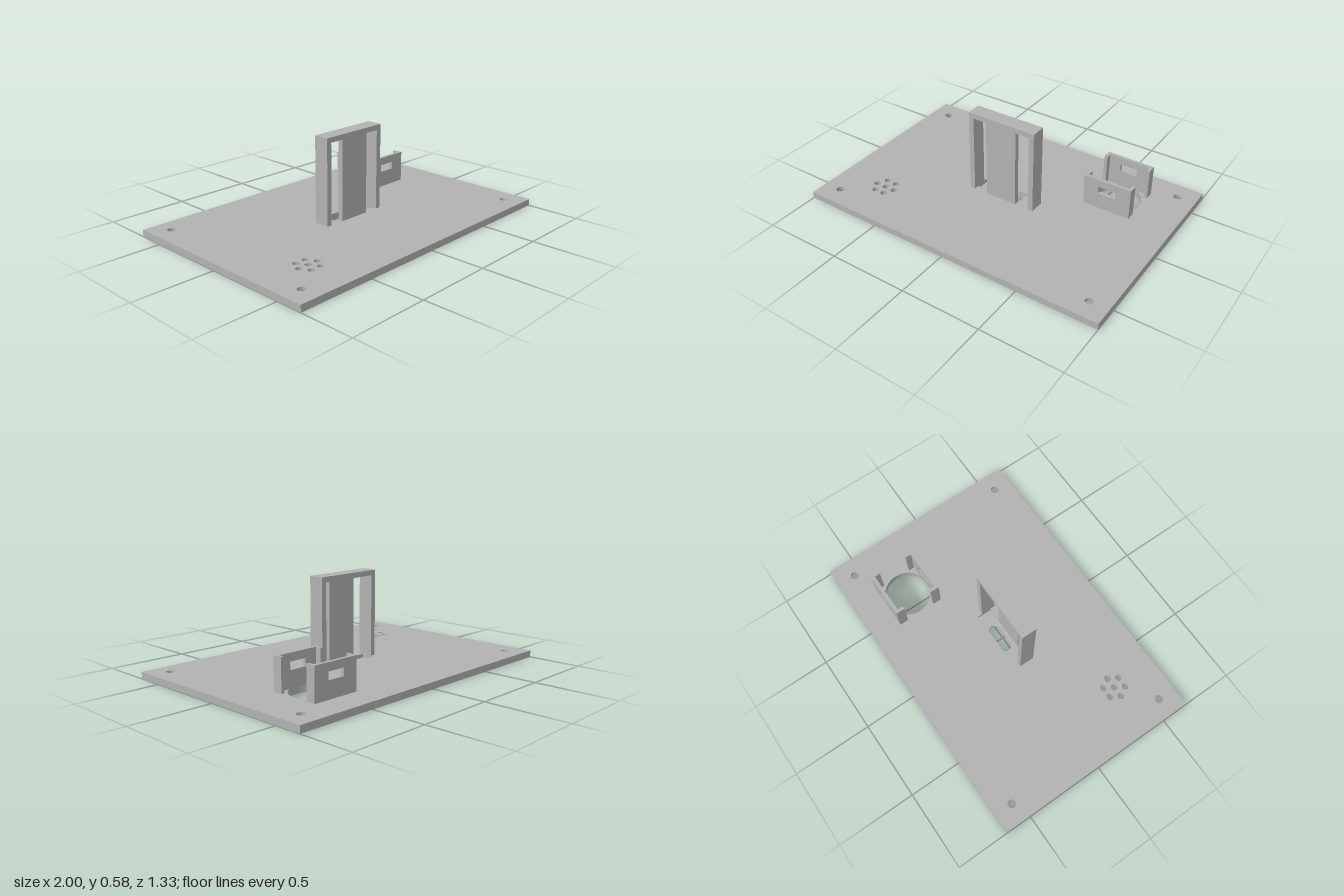
import * as THREE from 'three';

const T = 0.042;      // plate thickness
const FLOOR = 0.02;   // pocket floor height
const SCREWS = [[-0.883, -0.55], [0.883, -0.55], [-0.883, 0.55], [0.883, 0.55]];

const rectPoints = (x0, y0, x1, y1) => [
  new THREE.Vector2(x0, y0), new THREE.Vector2(x1, y0),
  new THREE.Vector2(x1, y1), new THREE.Vector2(x0, y1)];
const rect = (...a) => new THREE.Shape(rectPoints(...a));
const rectHole = (...a) => new THREE.Path(rectPoints(...a));
const roundHole = (x, y, r) => new THREE.Path().absarc(x, y, r, 0, Math.PI * 2, true);

// Slot with rounded ends: centre, half the straight length, radius
function slotHole(x, y, half, r) {
  const p = new THREE.Path();
  p.absarc(x + half, y, r, -Math.PI / 2, Math.PI / 2, false);
  p.absarc(x - half, y, r, Math.PI / 2, Math.PI * 1.5, false);
  p.closePath();
  return p;
}

export function createModel() {
  const model = new THREE.Group();
  model.name = 'mountingPanel';
  const grey = new THREE.MeshStandardMaterial({ color: 0xb2b2b2 });
  grey.name = 'grey';

  const add = (parent, name, geometry, x = 0, y = 0, z = 0) => {
    const mesh = new THREE.Mesh(geometry, grey);
    mesh.name = name;
    mesh.position.set(x, y, z);
    parent.add(mesh);
    return mesh;
  };
  const extrude = (shape, depth) =>
    new THREE.ExtrudeGeometry(shape, { depth, bevelEnabled: false, curveSegments: 24 });

  // Base plate in two layers; the upper one is cut out for the pocket
  const plate = new THREE.Group();
  plate.name = 'basePlate';
  model.add(plate);
  const plateLayer = (name, y0, y1, screwRadius, extraHole) => {
    const s = rect(-1, -0.667, 1, 0.667);
    // shape y is -z
    for (const [x, z] of SCREWS) s.holes.push(roundHole(x, -z, screwRadius));
    s.holes.push(roundHole(0.582, 0.335, 0.145));
    s.holes.push(roundHole(-0.668, -0.37, 0.02));
    for (let i = 0; i < 6; i++) {
      const a = i * Math.PI / 3;
      s.holes.push(roundHole(-0.668 + 0.067 * Math.cos(a), -0.37 + 0.067 * Math.sin(a), 0.02));
    }
    s.holes.push(extraHole);
    add(plate, name, extrude(s, y1 - y0).rotateX(-Math.PI / 2), 0, y0, 0);
  };
  plateLayer('lowerPlate', 0, FLOOR, 0.046, slotHole(0, 0.02, 0.06, 0.035));
  plateLayer('upperPlate', FLOOR, T, 0.025, rectHole(-0.195, -0.04, 0.193, 0.055));

  // Countersinks facing down, wound to show their inside
  const cone = new THREE.LatheGeometry(
    [new THREE.Vector2(0.025, FLOOR), new THREE.Vector2(0.046, 0)], 32);
  for (const [x, z] of SCREWS) add(plate, 'countersink', cone, x, 0, z);

  // Upright frame: front face with two windows, then a deeper open-backed arch
  const frame = new THREE.Group();
  frame.name = 'uprightFrame';
  model.add(frame);
  const front = rect(-0.228, T, 0.226, 0.577);
  const face = new THREE.Shape([
    [-0.228, T], [-0.195, T], [-0.195, 0.545], [-0.105, 0.545], [-0.105, T], [0.102, T],
    [0.102, 0.545], [0.193, 0.545], [0.193, T], [0.226, T], [0.226, 0.577], [-0.228, 0.577],
  ].map(([x, y]) => new THREE.Vector2(x, y)));
  add(frame, 'frameFace', extrude(face, 0.032), 0, 0, 0.04);
  const arch = new THREE.Shape([
    [-0.228, T], [-0.195, T], [-0.195, 0.545], [0.193, 0.545],
    [0.193, T], [0.226, T], [0.226, 0.577], [-0.228, 0.577],
  ].map(([x, y]) => new THREE.Vector2(x, y)));
  add(frame, 'frameArch', extrude(arch, 0.065), 0, 0, -0.025);

  // Pair of facing brackets with a window and short end lips
  for (const side of [1, -1]) {
    const bracket = new THREE.Group();
    bracket.name = side > 0 ? 'frontBracket' : 'backBracket';
    bracket.position.set(0.581, T, -0.335);
    model.add(bracket);
    const wall = rect(-0.153, 0, 0.153, 0.198);
    wall.holes.push(rectHole(-0.056, 0.103, 0.056, 0.149));
    add(bracket, 'bracketWall', extrude(wall, 0.021), 0, 0, side > 0 ? 0.132 : -0.153);
    for (const end of [1, -1]) {
      add(bracket, 'bracketLip', new THREE.BoxGeometry(0.021, 0.198, 0.037),
        end * 0.1425, 0.099, side * 0.1135);
    }
  }
  return model;
}
